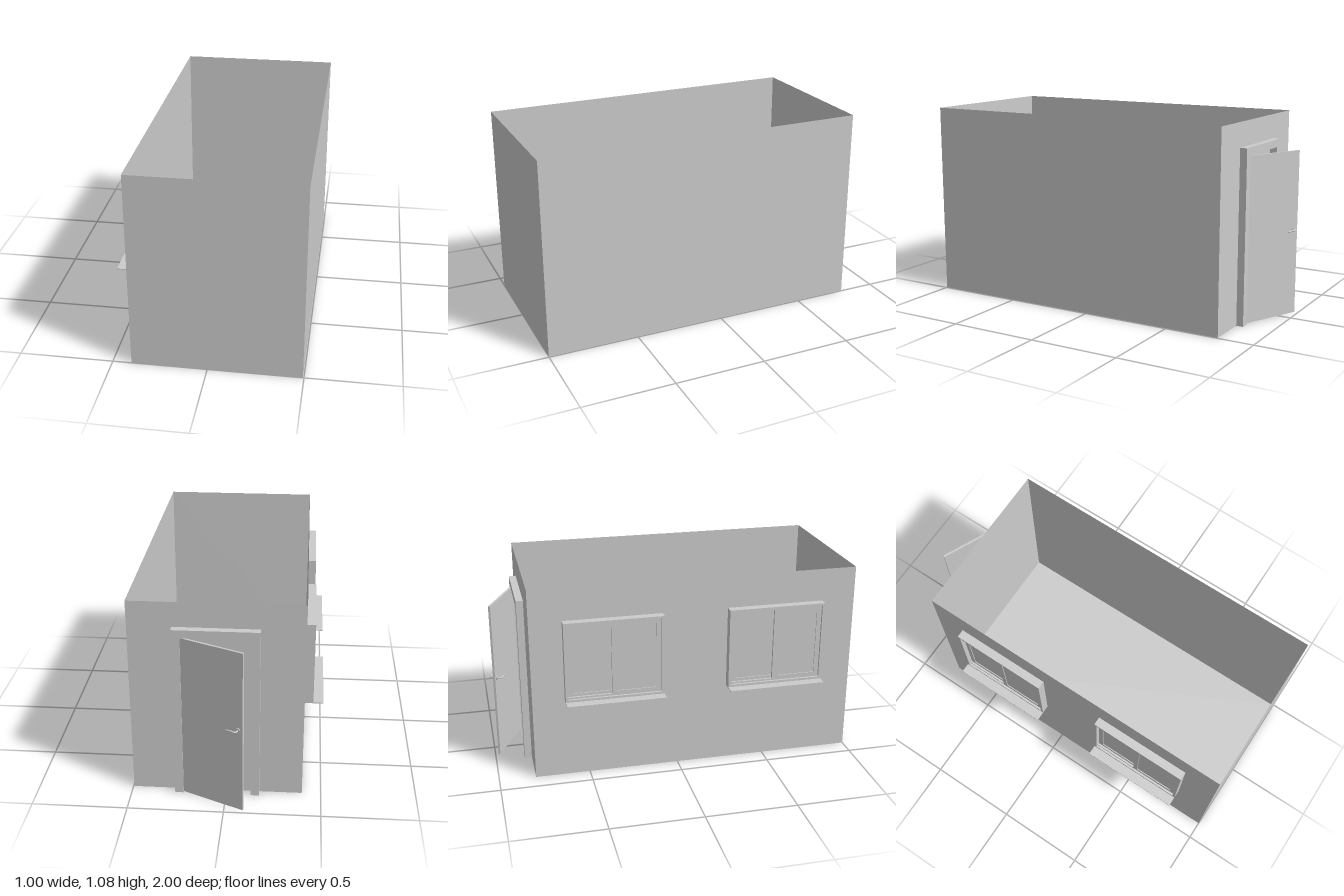
import * as THREE from 'three';

const grey = new THREE.MeshStandardMaterial({ color: 0xcccccc });
const greyThin = new THREE.MeshStandardMaterial({ color: 0xcccccc, side: THREE.DoubleSide });

function add(parent, name, geometry, material = grey) {
  const mesh = new THREE.Mesh(geometry, material);
  mesh.name = name;
  parent.add(mesh);
  return mesh;
}

// Box given by its limits on each axis
function box(parent, name, [x0, x1], [y0, y1], [z0, z1]) {
  const mesh = add(parent, name, new THREE.BoxGeometry(x1 - x0, y1 - y0, z1 - z0));
  mesh.position.set((x0 + x1) / 2, (y0 + y1) / 2, (z0 + z1) / 2);
  return mesh;
}

// Rectangular frame in the y-z plane
function frame(parent, name, [x0, x1], [y0, y1], [z0, z1], w) {
  const s = new THREE.Shape();
  s.moveTo(-z0, y0).lineTo(-z0, y1).lineTo(-z1, y1).lineTo(-z1, y0).closePath();
  const h = new THREE.Path();
  h.moveTo(-z0 - w, y0 + w).lineTo(-z1 + w, y0 + w).lineTo(-z1 + w, y1 - w).lineTo(-z0 - w, y1 - w).closePath();
  s.holes.push(h);
  const g = new THREE.ExtrudeGeometry(s, { depth: x1 - x0, bevelEnabled: false });
  g.rotateY(Math.PI / 2).translate(x0, 0, 0);
  return add(parent, name, g);
}

// Floor and four thin walls, open at the top
function makeRoom() {
  const g = new THREE.BoxGeometry(0.895, 1.083, 1.8);
  const faces = Array.from(g.index.array);
  faces.splice(12, 6);
  g.setIndex(faces);
  g.clearGroups();
  g.translate(0.0475, 0.5415, 0.1);
  const room = new THREE.Mesh(g, greyThin);
  room.name = 'roomShell';
  return room;
}

// Sliding window with casing, two sashes and a sill
function makeWindow(z0, z1) {
  const win = new THREE.Group();
  win.name = 'window';
  const y0 = 0.452, y1 = 0.902, mid = (z0 + z1) / 2, t = 0.014;
  frame(win, 'windowCasing', [-0.446, -0.4], [y0, y1], [z0, z1], t);
  // guide rails along the head and foot
  for (const y of [y0 + t, y1 - t - 0.01]) {
    box(win, 'slideRail', [-0.434, -0.423], [y, y + 0.01], [z0 + t, z1 - t]);
  }
  const sashY = [y0 + t, y1 - t];
  const sashes = [
    ['backSash', -0.421, [z0 + t, mid + 0.015]],
    ['frontSash', -0.434, [mid - 0.015, z1 - t]],
  ];
  for (const [name, x, zs] of sashes) {
    frame(win, name, [x, x + 0.012], sashY, zs, 0.026);
    box(win, 'pane', [x + 0.005, x + 0.008], [sashY[0] + 0.02, sashY[1] - 0.02], [zs[0] + 0.02, zs[1] - 0.02]);
  }
  box(win, 'windowSill', [-0.5, -0.4], [0.448, 0.453], [z0, z1]);
  return win;
}

// Lever handle on one face of the door; side is +1 or -1 along local z
function makeHandle(side) {
  const handle = new THREE.Group();
  handle.name = 'doorHandle';
  const rose = add(handle, 'rose', new THREE.CylinderGeometry(0.014, 0.014, 0.006, 20));
  rose.rotation.x = Math.PI / 2;
  rose.position.z = side * 0.008;
  const path = new THREE.CatmullRomCurve3([
    [0, 0, 0.008], [0, 0, 0.026], [0.006, 0.001, 0.033], [0.025, 0.003, 0.034], [0.045, 0, 0.032], [0.056, -0.003, 0.029],
  ].map(([x, y, z]) => new THREE.Vector3(x, y, z * side)));
  add(handle, 'lever', new THREE.TubeGeometry(path, 24, 0.0045, 10));
  const tip = add(handle, 'leverTip', new THREE.SphereGeometry(0.0045, 10, 8));
  tip.position.set(0.056, -0.003, 0.029 * side);
  return handle;
}

function makeDoor() {
  const door = new THREE.Group();
  door.name = 'doorway';

  // Frame: two posts and a head, drawn as one outline
  const s = new THREE.Shape();
  s.moveTo(-0.175, 0).lineTo(-0.13, 0).lineTo(-0.13, 0.908).lineTo(0.225, 0.908)
    .lineTo(0.225, 0).lineTo(0.27, 0).lineTo(0.27, 0.95).lineTo(-0.175, 0.95).closePath();
  const g = new THREE.ExtrudeGeometry(s, { depth: 0.039, bevelEnabled: false });
  g.translate(0, 0, -0.84);
  add(door, 'doorFrame', g);

  // Leaf swings about its hinge edge, standing ajar
  const leaf = new THREE.Group();
  leaf.name = 'doorLeaf';
  leaf.position.set(0.222, 0, -0.829);
  leaf.rotation.y = -Math.atan2(0.151, 0.325);
  box(leaf, 'doorPanel', [-0.355, 0], [0.005, 0.906], [-0.006, 0.006]);
  for (const side of [1, -1]) {
    const handle = makeHandle(side);
    handle.position.set(-0.328, 0.475, 0);
    leaf.add(handle);
  }
  door.add(leaf);
  return door;
}

export function createModel() {
  const model = new THREE.Group();
  model.name = 'room';
  model.add(makeRoom(), makeWindow(-0.625, -0.085), makeWindow(0.275, 0.815), makeDoor());
  return model;
}
